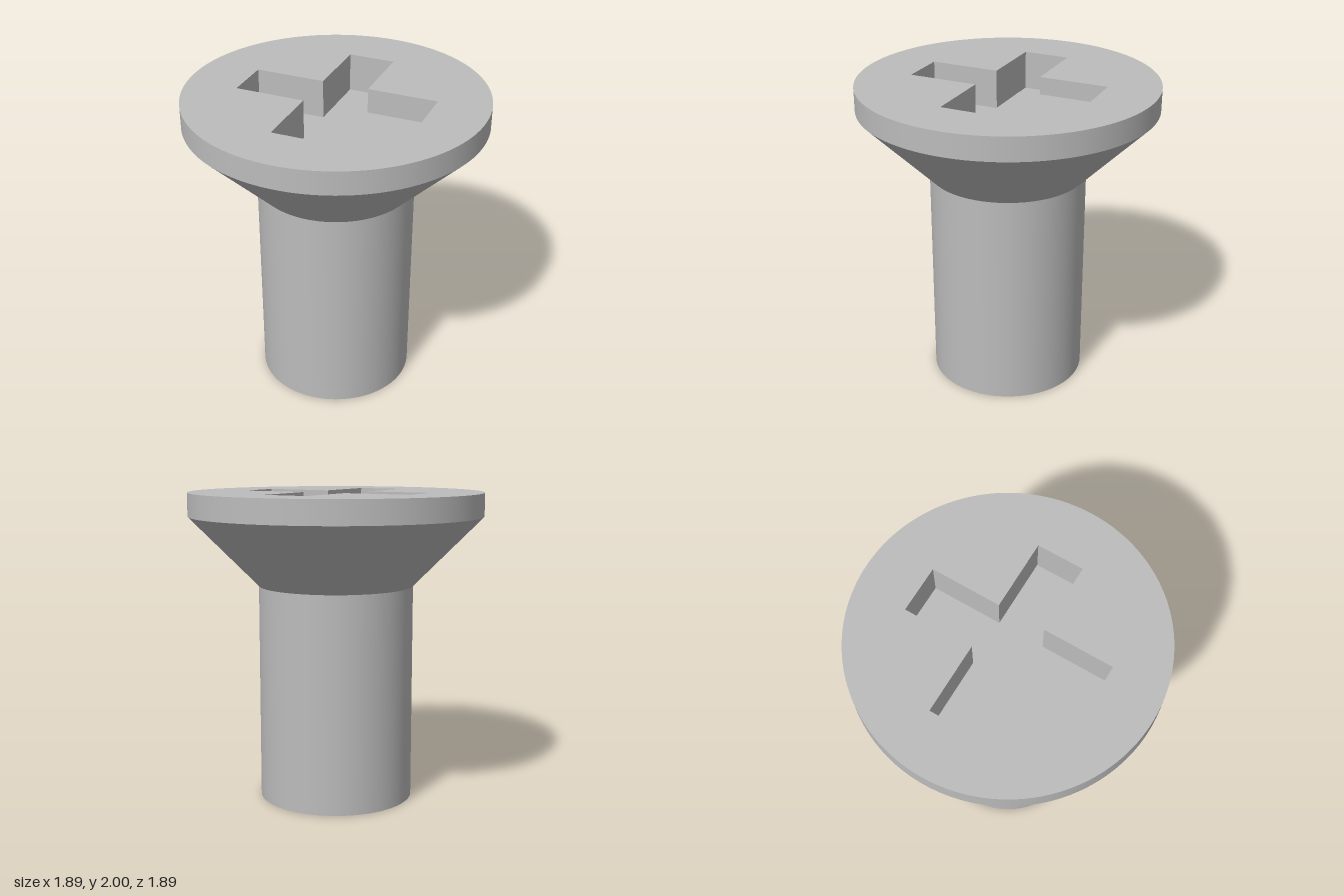
import * as THREE from 'three';

const SEGMENTS = 96;
const HEIGHT = 2, RIM_Y = 1.85, NECK_Y = 1.4;
const HEAD_R = 0.947, SHANK_R = 0.5;
const ARM = 0.6, HALF = 0.15, DEPTH = 0.25;

export function createModel() {
  const steel = new THREE.MeshStandardMaterial({ color: 0xbcbcbc });
  steel.name = 'steel grey';

  const group = new THREE.Group();
  group.name = 'countersunkScrew';
  const add = (name, geometry) => {
    const mesh = new THREE.Mesh(geometry, steel);
    mesh.name = name;
    group.add(mesh);
  };

  // Open round band between two heights
  const band = (r0, r1, y0, y1) =>
    new THREE.CylinderGeometry(r1, r0, y1 - y0, SEGMENTS, 1, true).translate(0, (y0 + y1) / 2, 0);
  // Flat shape laid horizontally, facing up
  const flat = (shape, y) =>
    new THREE.ShapeGeometry(shape, SEGMENTS).rotateX(-Math.PI / 2).translate(0, y, 0);

  add('shank', band(SHANK_R, SHANK_R, 0, NECK_Y));
  add('shankEnd', new THREE.CircleGeometry(SHANK_R, SEGMENTS).rotateX(Math.PI / 2));
  add('headCone', band(SHANK_R, HEAD_R, NECK_Y, RIM_Y));
  add('headRim', band(HEAD_R, HEAD_R, RIM_Y, HEIGHT));

  // Cross outline, counter-clockwise: one arm repeated by quarter turns
  const cross = [];
  for (let i = 0; i < 4; i++) {
    for (const [x, y] of [[ARM, -HALF], [ARM, HALF], [HALF, HALF]]) {
      cross.push(new THREE.Vector2(x, y).rotateAround(new THREE.Vector2(), i * Math.PI / 2));
    }
  }

  // Head face with the cross cut out
  const face = new THREE.Shape().absarc(0, 0, HEAD_R, 0, Math.PI * 2);
  face.holes.push(new THREE.Path(cross));
  add('headFace', flat(face, HEIGHT));

  // Recess floor and its inward-facing walls
  const floorY = HEIGHT - DEPTH;
  add('recessFloor', flat(new THREE.Shape(cross), floorY));
  const walls = [];
  cross.forEach((a, i) => {
    const b = cross[(i + 1) % cross.length];
    const a0 = [a.x, floorY, -a.y], a1 = [a.x, HEIGHT, -a.y];
    const b0 = [b.x, floorY, -b.y], b1 = [b.x, HEIGHT, -b.y];
    walls.push(...b0, ...a0, ...a1, ...b0, ...a1, ...b1);
  });
  const wallGeometry = new THREE.BufferGeometry();
  wallGeometry.setAttribute('position', new THREE.Float32BufferAttribute(walls, 3));
  wallGeometry.computeVertexNormals();
  add('recessWalls', wallGeometry);

  return group;
}
